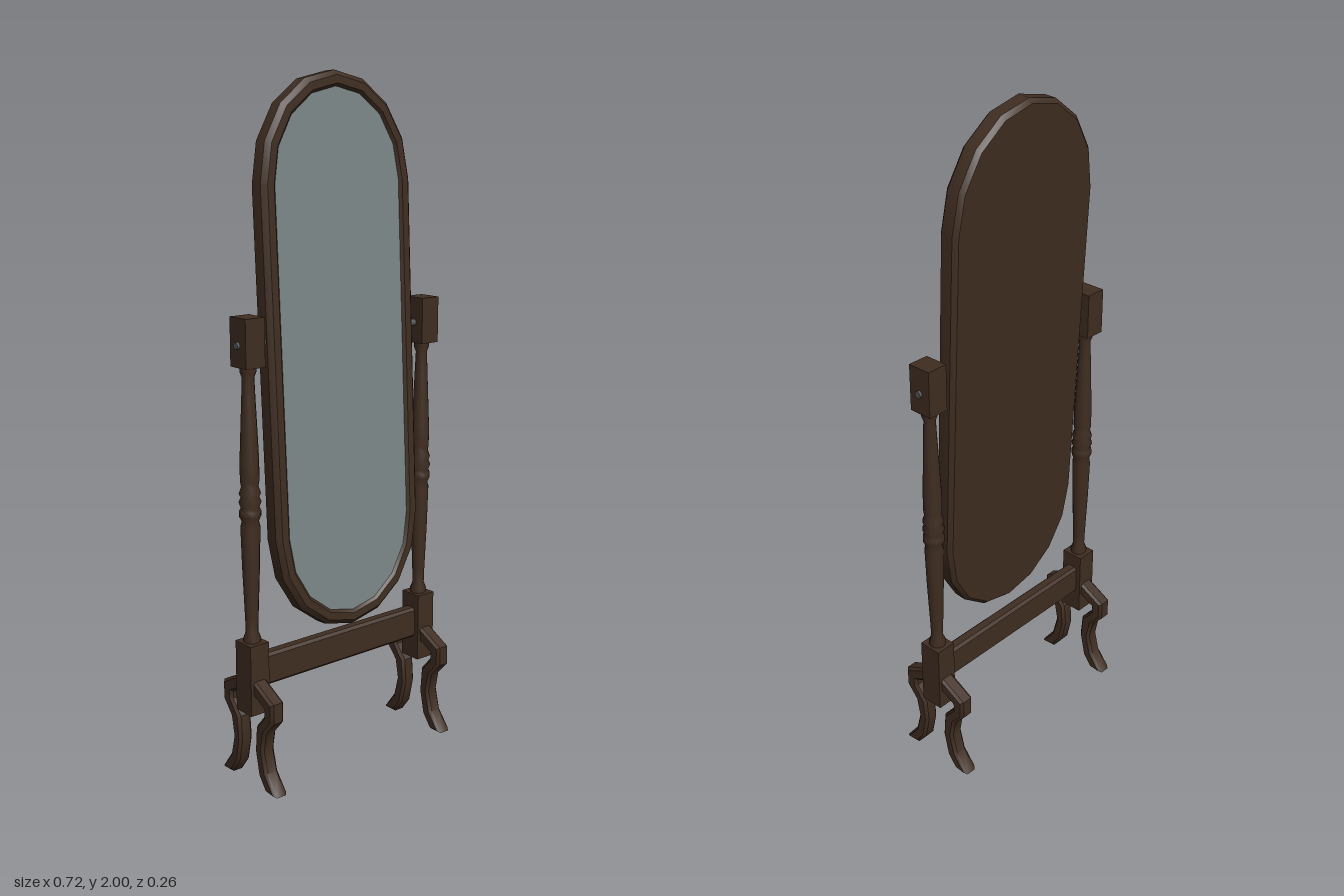
import * as THREE from 'three';
import { toCreasedNormals } from 'three/addons/utils/BufferGeometryUtils.js';

const wood = new THREE.MeshStandardMaterial({ color: 0x3f2d21 });
wood.name = 'dark wood';
const glass = new THREE.MeshStandardMaterial({ color: 0x7b8687 });
glass.name = 'mirror glass';
const steel = new THREE.MeshStandardMaterial({ color: 0x55565a });
steel.name = 'grey steel';

const HALF_W = 0.265, HALF_H = 0.79, CAP = 0.3, POST_X = 0.32;

function add(parent, name, geometry, material, x = 0, y = 0, z = 0) {
  const mesh = new THREE.Mesh(geometry, material);
  mesh.name = name;
  mesh.position.set(x, y, z);
  parent.add(mesh);
  return mesh;
}

// Long oval with elliptical ends, counter-clockwise, shrunk by an inset
function oval(inset) {
  const points = [];
  for (const end of [0, 1]) {
    for (let i = 0; i <= 8; i++) {
      const a = end * Math.PI + i * Math.PI / 8;
      const middle = (end ? -1 : 1) * (HALF_H - CAP);
      points.push(new THREE.Vector2(Math.cos(a) * (HALF_W - inset), middle + Math.sin(a) * (CAP - inset)));
    }
  }
  return points;
}

// Sweep an (inset, z) section around the oval
function ovalFrame(section) {
  const positions = [], index = [];
  for (const [inset, z] of section) for (const p of oval(inset)) positions.push(p.x, p.y, z);
  const n = oval(0).length;
  for (let r = 0; r < section.length - 1; r++) {
    for (let i = 0; i < n; i++) {
      const j = (i + 1) % n;
      const a = r * n + i, b = r * n + j, c = a + n, d = b + n;
      index.push(a, b, d, a, d, c);
    }
  }
  const geometry = new THREE.BufferGeometry();
  geometry.setAttribute('position', new THREE.Float32BufferAttribute(positions, 3));
  geometry.setIndex(index);
  return toCreasedNormals(geometry, 0.5);
}

// S-curved leg cut from a board, with chamfered edges; the foot points to +z
function legGeometry() {
  const outer = [[0.119, 0.28], [0.119, 0.222], [0.082, 0.18], [0.071, 0.122], [0.087, 0.058], [0.13, 0]];
  const inner = [[0.082, 0], [0.05, 0.042], [0.034, 0.116], [0.04, 0.19], [0.077, 0.233], [0.077, 0.254]];
  const outline = [[0.02, 0.33], ...outer, ...inner, [0.02, 0.283]];
  const shape = new THREE.Shape(outline.map(([z, y]) => new THREE.Vector2(z, y)));
  const geometry = new THREE.ExtrudeGeometry(shape, {
    depth: 0.03, bevelSize: 0.008, bevelThickness: 0.008, bevelOffset: -0.008, bevelSegments: 1,
  });
  geometry.translate(0, 0, -0.015);
  geometry.rotateY(-Math.PI / 2);
  return toCreasedNormals(geometry, 0.6);
}

// Turned post with a beaded middle
function postGeometry() {
  const profile = [
    [0.022, 0.42], [0.026, 0.44], [0.018, 0.46], [0.019, 0.5], [0.025, 0.65], [0.028, 0.77],
    [0.024, 0.785], [0.031, 0.8], [0.031, 0.815], [0.026, 0.825], [0.032, 0.84], [0.026, 0.855],
    [0.031, 0.865], [0.024, 0.885], [0.027, 0.9], [0.027, 0.96], [0.02, 1.12], [0.017, 1.19],
    [0.023, 1.205], [0.023, 1.23],
  ];
  return new THREE.LatheGeometry(profile.map(([r, y]) => new THREE.Vector2(r, y)), 12);
}

export function createModel() {
  const model = new THREE.Group();
  model.name = 'standingMirror';

  // Tilting mirror
  const mirror = new THREE.Group();
  mirror.name = 'tiltingMirror';
  mirror.position.y = 1.21;
  mirror.rotation.x = -0.052;
  model.add(mirror);
  add(mirror, 'mirrorFrame', ovalFrame([
    [0.012, -0.032], [0, -0.02], [0, 0.018], [0.014, 0.032], [0.036, 0.032], [0.044, 0.024],
  ]), wood);
  add(mirror, 'mirrorGlass', new THREE.ShapeGeometry(new THREE.Shape(oval(0.044))), glass, 0, 0, 0.024);
  const back = new THREE.ShapeGeometry(new THREE.Shape(oval(0.012)));
  back.rotateY(Math.PI);
  add(mirror, 'mirrorBack', back, wood, 0, 0, -0.032);

  // Side supports, mirrored left and right
  const leg = legGeometry(), post = postGeometry();
  for (const side of [1, -1]) {
    const support = new THREE.Group();
    support.name = side > 0 ? 'leftSupport' : 'rightSupport';
    support.position.x = side * POST_X;
    model.add(support);
    add(support, 'lowerBlock', new THREE.BoxGeometry(0.064, 0.21, 0.072), wood, 0, 0.325);
    add(support, 'turnedPost', post, wood);
    add(support, 'upperBlock', new THREE.BoxGeometry(0.064, 0.136, 0.072), wood, 0, 1.287);
    const pin = add(support, 'pivotPin', new THREE.CylinderGeometry(0.01, 0.01, 0.11, 12), steel, -side * 0.015, 1.28);
    pin.rotation.z = Math.PI / 2;
    add(support, 'frontLeg', leg, wood);
    add(support, 'backLeg', leg, wood).rotation.y = Math.PI;
  }

  // Cross rail between the supports, with chamfered long edges
  const h = 0.048, d = 0.02, c = 0.008;
  const section = [[d, h - c], [d - c, h], [c - d, h], [-d, h - c], [-d, c - h], [c - d, -h], [d - c, -h], [d, c - h]];
  const rail = new THREE.ExtrudeGeometry(
    new THREE.Shape(section.map(([x, y]) => new THREE.Vector2(x, y))),
    { depth: 0.6, bevelEnabled: false },
  );
  rail.translate(0, 0, -0.3);
  rail.rotateY(Math.PI / 2);
  add(model, 'crossRail', rail, wood, 0, 0.338);

  return model;
}
